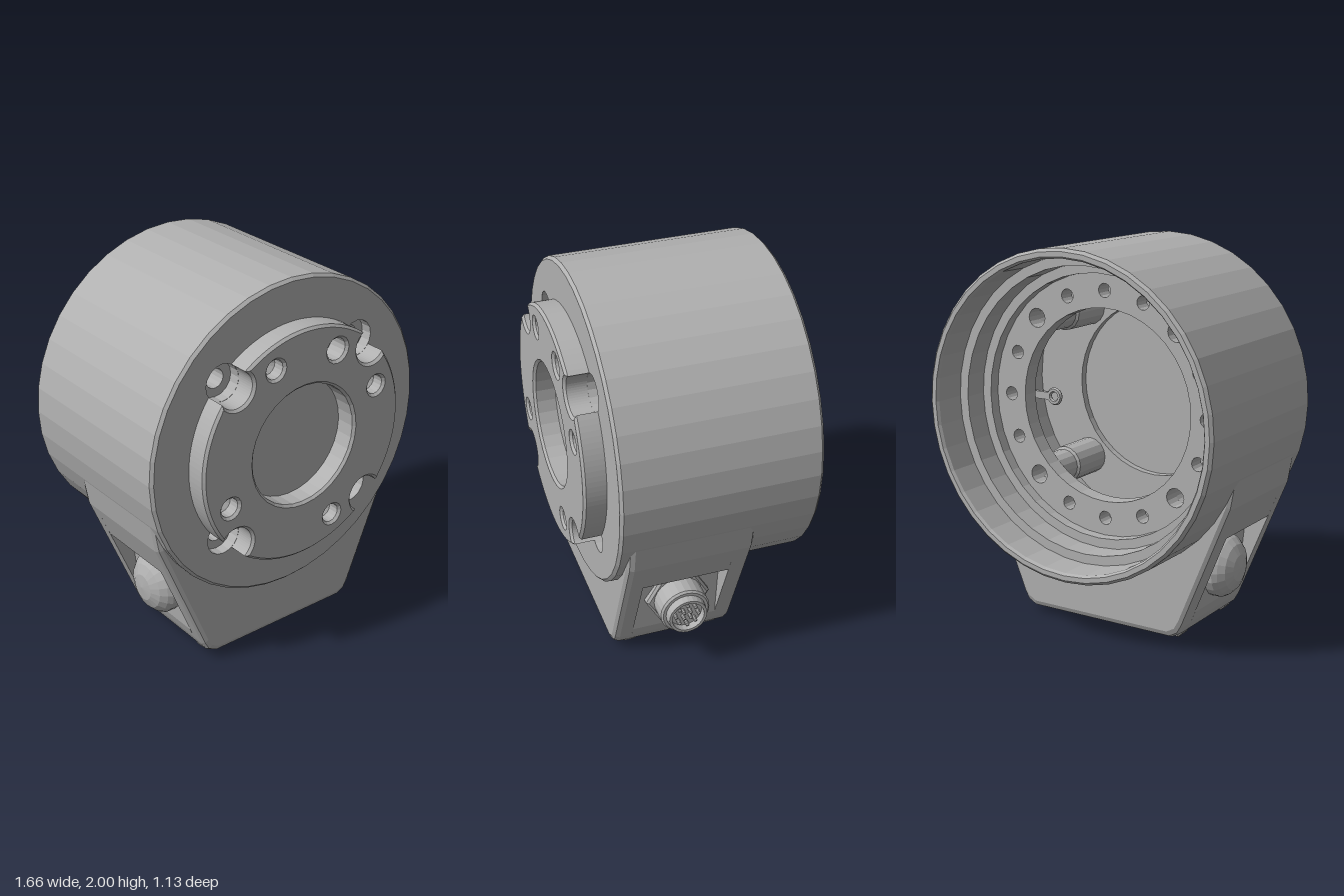
import * as THREE from 'three';

const CY = 1.17;           // height of the ring axis
const BOLT = 0.588;        // bolt circle radius
const grey = new THREE.MeshStandardMaterial({ color: 0xb0b0b0 });
grey.name = 'machined grey';

// Faceted mesh with a plain name
function add(parent, name, geometry, x = 0, y = 0, z = 0) {
  const g = geometry.index ? geometry.toNonIndexed() : geometry;
  g.computeVertexNormals();
  const mesh = new THREE.Mesh(g, grey);
  mesh.name = name;
  mesh.position.set(x, y, z);
  parent.add(mesh);
  return mesh;
}

// Turned part: profile of [radius, height], axis along z, +x or -x
function turned(profile, segments, axis = 'z') {
  const g = new THREE.LatheGeometry(profile.map(([r, h]) => new THREE.Vector2(r, h)), segments);
  if (axis === 'z') g.rotateX(Math.PI / 2);
  if (axis === '+x') g.rotateZ(-Math.PI / 2);
  if (axis === '-x') g.rotateZ(Math.PI / 2);
  return g;
}

function circle(Type, r, n, cx = 0, cy = 0) {
  const pts = [];
  for (let i = 0; i < n; i++) {
    const a = (i / n) * Math.PI * 2;
    pts.push(new THREE.Vector2(cx + r * Math.cos(a), cy + r * Math.sin(a)));
  }
  return new Type(pts);
}

const boltAngles = [0, 1, 2, 3].map(i => Math.PI / 4 + i * Math.PI / 2);
const onCircle = (r, a) => [r * Math.cos(a), r * Math.sin(a)];

// Round plate with bolt holes and optional central opening
function plate(r, depth, boltHole, centre = 0) {
  const s = circle(THREE.Shape, r, 40);
  for (const a of boltAngles) s.holes.push(circle(THREE.Path, boltHole, 16, ...onCircle(BOLT, a)));
  if (centre) s.holes.push(circle(THREE.Path, centre, 40));
  return [s, { depth, bevelEnabled: false }];
}

// Raised mounting face, scalloped around the four bolts
function bossGeometry(small) {
  const R = 0.615, r = 0.095, s = new THREE.Shape();
  const a = Math.acos((R * R + BOLT * BOLT - r * r) / (2 * R * BOLT));
  const b = Math.atan2(R * Math.sin(a), R * Math.cos(a) - BOLT);
  for (const t of boltAngles) {
    const [cx, cy] = onCircle(BOLT, t);
    s.absarc(cx, cy, r, t - b, t + b, true);
    s.absarc(0, 0, R, t + a, t + Math.PI / 2 - a, false);
  }
  s.holes.push(circle(THREE.Path, 0.318, 32));
  for (const [x, y, hr] of small) s.holes.push(circle(THREE.Path, hr, 16, x, y));
  return new THREE.ExtrudeGeometry(s, {
    depth: 0.12, bevelThickness: 0.013, bevelSize: 0.013, bevelOffset: -0.013,
    bevelSegments: 1, curveSegments: 14,
  });
}

// Slab of the tapered base; levels are [z, scale about the ring axis]
function baseSlab(pocketed, levels) {
  const right = [[0.753, 0.93], [0.79, 0.93], [0.76, 0.76]];
  if (pocketed) right.push([0.686, 0.58], [0.56, 0.58], [0.515, 0.16]);
  right.push([0.49, 0.10], [0.465, 0.055], [0.42, 0.03]);
  const left = right.map(([x, y]) => [-x, y]).reverse();
  const pts = [...right, ...left].map(([x, y]) => new THREE.Vector2(x, y - CY));
  const a0 = Math.PI + 0.309, a1 = Math.PI * 2 - 0.309;
  for (let i = 1; i < 28; i++) pts.push(new THREE.Vector2(...onCircle(0.79, a0 + (a1 - a0) * i / 28)));
  const n = levels.length - 1;
  const g = new THREE.ExtrudeGeometry(new THREE.Shape(pts), { depth: n, steps: n, bevelEnabled: false });
  const p = g.attributes.position;
  for (let i = 0; i < p.count; i++) {
    const [z, k] = levels[Math.round(p.getZ(i))];
    p.setXYZ(i, p.getX(i) * k, p.getY(i) * k, z);
  }
  return g;
}

export function createModel() {
  const model = new THREE.Group();
  model.name = 'flangedHousing';
  const ring = new THREE.Group();
  ring.name = 'ringBody';
  ring.position.y = CY;
  model.add(ring);

  // Outer shell with stepped rear recess
  add(ring, 'shell', turned([
    [0.815, -0.565], [0.83, -0.55], [0.83, 0.435], [0.815, 0.45], [0.74, 0.45],
    [0.74, -0.1], [0.68, -0.1], [0.68, -0.25], [0.73, -0.25], [0.73, -0.38],
    [0.78, -0.38], [0.78, -0.55], [0.79, -0.565], [0.815, -0.565],
  ], 40));

  // Front wall: counterbored layer, bolt layer, inner relief ring
  add(ring, 'frontWall', new THREE.ExtrudeGeometry(...plate(0.74, 0.06, 0.095)), 0, 0, 0.39);
  add(ring, 'boltWall', new THREE.ExtrudeGeometry(...plate(0.74, 0.06, 0.05)), 0, 0, 0.33);
  add(ring, 'innerRelief', new THREE.ExtrudeGeometry(...plate(0.74, 0.04, 0.05, 0.47)), 0, 0, 0.29);

  // Mounting boss with blind holes
  const small = [[-0.19, 0.455, 0.05], [0.455, 0.19, 0.05], [-0.455, -0.19, 0.05], [0.19, -0.455, 0.05],
    [0.19, 0.455, 0.058]];
  add(ring, 'mountingBoss', bossGeometry(small), 0, 0, 0.432);
  small.slice(0, 4).forEach(([x, y]) =>
    add(ring, 'drillPoint', turned([[0.052, 0.04], [0, 0]], 16), x, y, 0.455));

  // Rear flange with a ring of holes
  const flange = circle(THREE.Shape, 0.70, 40);
  flange.holes.push(circle(THREE.Path, 0.5, 40));
  for (let i = 0; i < 16; i++) {
    const r = i % 4 === 2 ? 0.05 : 0.036;
    flange.holes.push(circle(THREE.Path, r, 14, ...onCircle(BOLT, i * Math.PI / 8)));
  }
  add(ring, 'rearFlange', new THREE.ExtrudeGeometry(flange, { depth: 0.09, bevelEnabled: false }), 0, 0, -0.19);

  // Hollow posts between flange and front wall
  for (const a of boltAngles) {
    add(ring, 'boltPost', turned([
      [0.05, -0.1], [0.085, -0.1], [0.085, 0.04], [0.098, 0.05], [0.098, 0.33], [0.05, 0.33], [0.05, -0.1],
    ], 16), ...onCircle(BOLT, a), 0);
  }

  // Small eyelet inside the cavity
  add(ring, 'eyelet', new THREE.TorusGeometry(0.035, 0.014, 6, 14), 0.46, -0.04, 0.02);
  add(ring, 'eyeletStem', new THREE.BoxGeometry(0.26, 0.04, 0.025), 0.62, -0.04, 0.02);

  // Tapered base with side pockets and softened outer edges
  add(ring, 'baseFront', baseSlab(false, [[0.30, 1], [0.365, 1], [0.388, 0.99], [0.40, 0.968]]));
  add(ring, 'baseMiddle', baseSlab(true, [[-0.15, 1], [0.30, 1]]));
  add(ring, 'baseBack', baseSlab(false, [[-0.25, 0.968], [-0.238, 0.99], [-0.215, 1], [-0.15, 1]]));

  // Round connector on the left side
  const connector = new THREE.Group();
  connector.name = 'connector';
  connector.position.set(0.51, 0.365, 0.075);
  model.add(connector);
  add(connector, 'hexNut', turned([[0, 0], [0.17, 0], [0.17, 0.055], [0.155, 0.065], [0, 0.065]], 6, '+x'));
  add(connector, 'connectorBarrel', turned([
    [0.13, 0], [0.13, 0.17], [0.12, 0.18], [0.105, 0.18], [0.1, 0.22], [0.085, 0.22], [0.085, 0.18], [0, 0.18],
  ], 24, '+x'));
  const pins = [...Array(8).keys()].map(i => onCircle(0.06, i * Math.PI / 4));
  for (let i = 0; i < 4; i++) pins.push(onCircle(0.025, Math.PI / 4 + i * Math.PI / 2));
  for (const [y, z] of pins) {
    add(connector, 'pin', turned([[0.01, 0], [0.01, 0.03], [0, 0.035]], 8, '+x'), 0.18, y, z);
  }

  // Domed plug on the right side
  add(model, 'domedPlug', turned([
    [0.165, 0], [0.165, 0.06], [0.15, 0.085], [0.12, 0.115], [0.07, 0.138], [0, 0.145],
  ], 20, '-x'), -0.51, 0.355, 0.075);

  // Plugs under the base
  for (const [x, z] of [[0.225, 0.2], [0, -0.04], [-0.225, 0.2]]) {
    add(model, 'bottomPlug', turned([
      [0, 0.006], [0.04, 0.006], [0.05, 0], [0.072, 0], [0.085, 0.012], [0.085, 0.04],
    ].map(([r, h]) => [r, h]), 18, 'y'), x, 0, z);
  }

  // Screws at the lower corners
  for (const side of [-1, 1]) {
    for (const z of [0.3, -0.15]) {
      const screw = add(model, 'cornerScrew', turned([
        [0, 0.012], [0.015, 0.012], [0.018, 0], [0.03, 0], [0.036, 0.008], [0.036, 0.04],
      ], 12, 'y'), side * 0.445, 0.03, z);
      screw.rotation.z = side * 0.75;
    }
  }
  return model;
}
